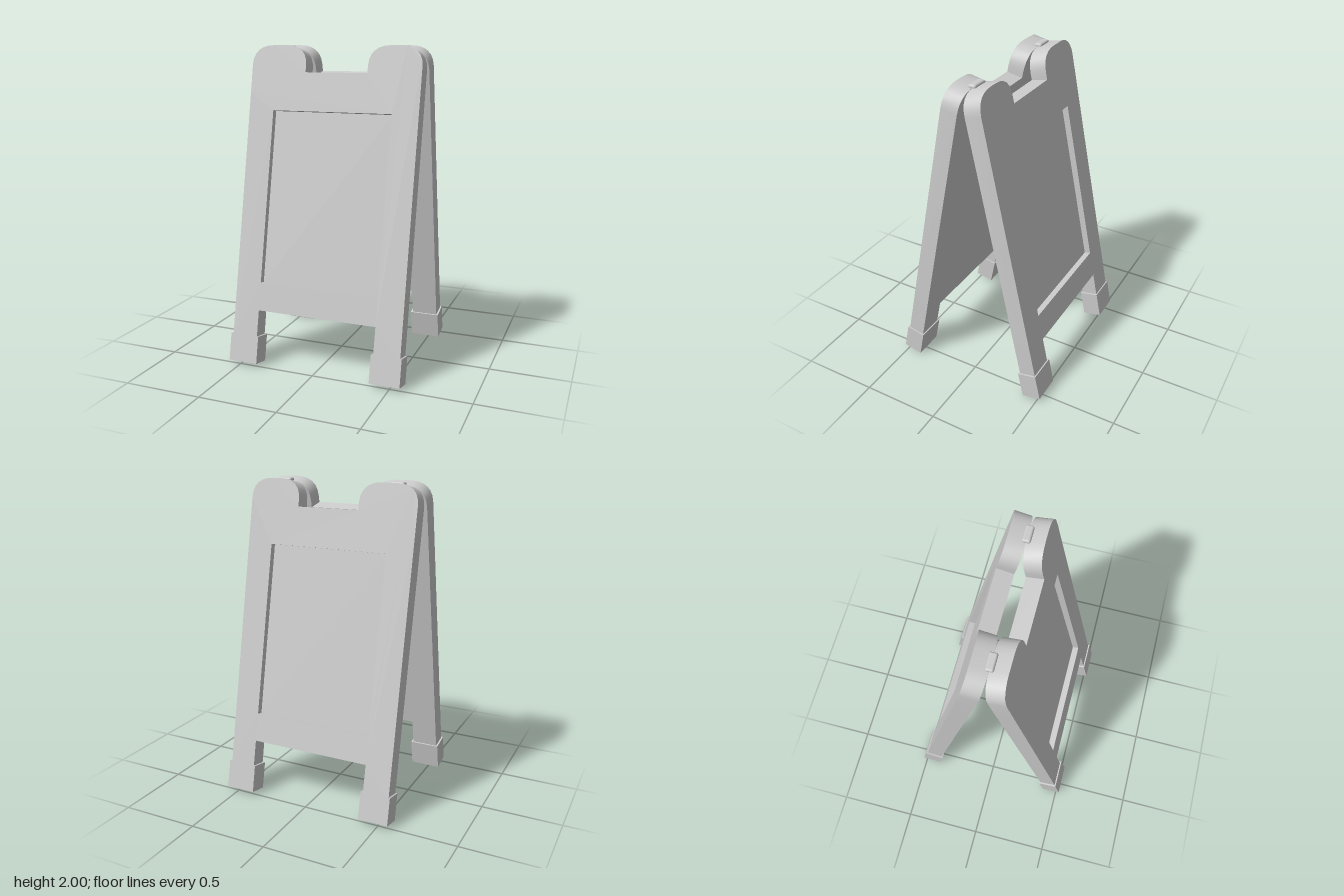
import * as THREE from 'three';
import { toCreasedNormals } from 'three/addons/utils/BufferGeometryUtils.js';
import { RoundedBoxGeometry } from 'three/addons/geometries/RoundedBoxGeometry.js';

const grey = new THREE.MeshStandardMaterial({ color: 0xcccccc });
const TILT = 0.204, TOP = 1.979, THICK = 0.107, RECESS = 0.041;
const HALF = 0.558, OPENING = 0.39;

function addMesh(parent, name, geometry, x = 0, y = 0, z = 0) {
  const mesh = new THREE.Mesh(geometry, grey);
  mesh.name = name;
  mesh.position.set(x, y, z);
  parent.add(mesh);
  return mesh;
}

// Rounded ear on top of the board, drawn from x0 to x1
function ear(shape, x0, x1, startY, endY) {
  const h = 0.125, r = 0.14, k = 0.65;
  shape.lineTo(x0, startY);
  shape.lineTo(x0, -h);
  shape.bezierCurveTo(x0, -h * (1 - k), x0 + r * (1 - k), 0, x0 + r, 0);
  shape.lineTo(x1 - r, 0);
  shape.bezierCurveTo(x1 - r * (1 - k), 0, x1, -h * (1 - k), x1, -h);
  shape.lineTo(x1, endY);
}

// One leaning board; its top inner edge is the local origin, side flips x
function createBoard(name, side) {
  const board = new THREE.Group();
  board.name = name;
  const legEnd = -1.87, railBottom = -1.68, notch = -0.168;
  const recessTop = -0.41, recessBottom = -1.502;

  // Outline with two ears, handle notch and two legs
  const outline = new THREE.Shape();
  outline.moveTo(-HALF, legEnd);
  ear(outline, -HALF, -0.187, -0.3, notch);
  ear(outline, 0.22, HALF, notch, legEnd);
  outline.lineTo(OPENING, legEnd);
  outline.lineTo(OPENING, railBottom);
  outline.lineTo(-OPENING, railBottom);
  outline.lineTo(-OPENING, legEnd);
  const points = outline.getPoints(6).map(p => new THREE.Vector2(p.x * side, p.y));
  const shape = new THREE.Shape(points);

  // Window for the sign
  const hole = new THREE.Path();
  hole.moveTo(-OPENING, recessBottom);
  hole.lineTo(OPENING, recessBottom);
  hole.lineTo(OPENING, recessTop);
  hole.lineTo(-OPENING, recessTop);
  hole.closePath();
  shape.holes.push(hole);

  const frame = new THREE.ExtrudeGeometry(shape, { depth: THICK, bevelEnabled: false });
  addMesh(board, 'frame', toCreasedNormals(frame, 0.6));

  // Sunken sign panel, flush with the inside of the frame
  const depth = THICK - RECESS;
  addMesh(board, 'signPanel',
    new THREE.BoxGeometry(2 * OPENING, recessTop - recessBottom, depth),
    0, (recessTop + recessBottom) / 2, depth / 2);

  // Feet
  for (const s of [-1, 1]) {
    addMesh(board, 'foot', new THREE.BoxGeometry(0.192, 0.173, 0.124),
      s * 0.473, -1.9325, THICK / 2);
  }

  board.position.y = TOP;
  board.rotation.x = -TILT;
  return board;
}

export function createModel() {
  const model = new THREE.Group();
  model.name = 'sandwichBoard';

  model.add(createBoard('frontBoard', 1));

  const back = new THREE.Group();
  back.name = 'backHalf';
  back.rotation.y = Math.PI;
  back.add(createBoard('backBoard', -1));
  model.add(back);

  // Hinge pegs joining the ears
  for (const x of [-0.375, 0.39]) {
    addMesh(model, 'hingePeg', new RoundedBoxGeometry(0.108, 0.028, 0.05, 3, 0.013), x, 1.985, 0);
  }
  return model;
}
